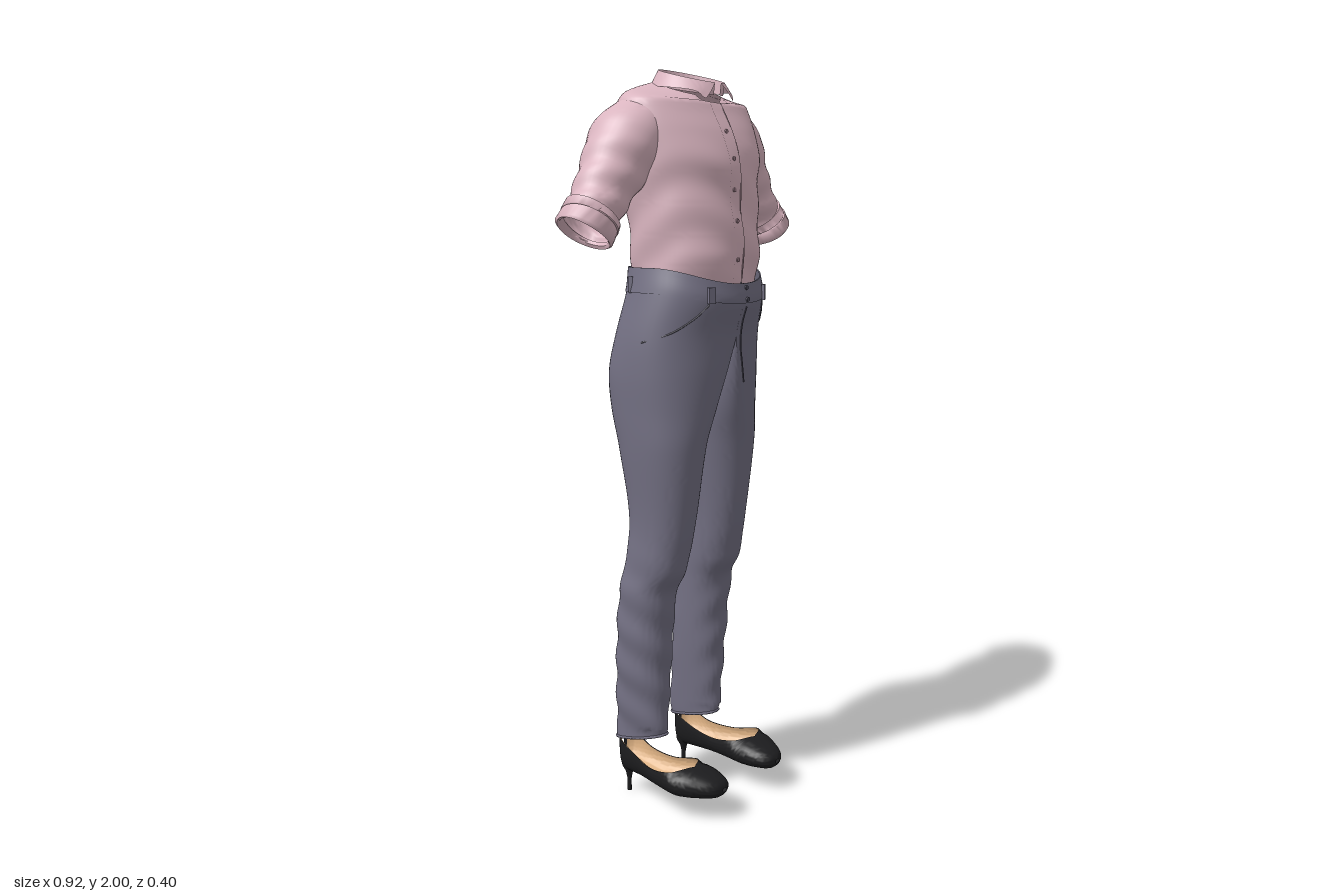
import * as THREE from 'three';
import { toCreasedNormals } from 'three/addons/utils/BufferGeometryUtils.js';

const mat = (name, color) => new THREE.MeshStandardMaterial({ name, color, side: THREE.DoubleSide });
const V = (x, y, z) => new THREE.Vector3(x, y, z);
const { lerp, smoothstep } = THREE.MathUtils;
const PI = Math.PI;
const sp = (v, p = 0.9) => Math.sign(v) * Math.abs(v) ** p;

// Smooth interpolation of table rows; the first column is the key
function at(rows, k) {
  const dir = Math.sign(rows[1][0] - rows[0][0]);
  let i = 0;
  while (i < rows.length - 2 && (k - rows[i + 1][0]) * dir > 0) i++;
  const A = rows[i], B = rows[i + 1], P = rows[i - 1] || A, N = rows[i + 2] || B;
  const d = B[0] - A[0], t = (k - A[0]) / d, t2 = t * t, t3 = t2 * t;
  return A.map((a, c) => {
    const m0 = (B[c] - P[c]) / (B[0] - P[0]) * d, m1 = (N[c] - A[c]) / (N[0] - A[0]) * d;
    return (2 * t3 - 3 * t2 + 1) * a + (t3 - 2 * t2 + t) * m0 + (3 * t2 - 2 * t3) * B[c] + (t3 - t2) * m1;
  });
}

// Surface swept from key k0 to k1, with fn(k, a) giving each point
function loft(fn, k0, k1, nk, na, a0 = 0, a1 = 2 * PI, crease = 1.1) {
  const pos = [], idx = [], closed = Math.abs(a1 - a0 - 2 * PI) < 1e-6, w = closed ? na : na + 1;
  for (let i = 0; i <= nk; i++)
    for (let j = 0; j < w; j++) pos.push(...fn(lerp(k0, k1, i / nk), lerp(a0, a1, j / na)).toArray());
  for (let i = 0; i < nk; i++)
    for (let j = 0; j < na; j++) {
      const a = i * w + j, b = i * w + (j + 1) % w;
      idx.push(a, b, a + w, b, b + w, a + w);
    }
  const g = new THREE.BufferGeometry();
  g.setAttribute('position', new THREE.Float32BufferAttribute(pos, 3));
  g.setIndex(idx);
  return toCreasedNormals(g, crease);
}

// y, centre x, half width, front z, back z
const TORSO = [
  [1.97, -0.004, 0.092, 0.052, -0.108], [1.95, -0.003, 0.165, 0.058, -0.128], [1.93, -0.003, 0.212, 0.064, -0.142],
  [1.89, -0.003, 0.235, 0.08, -0.162], [1.83, -0.004, 0.235, 0.112, -0.178], [1.76, -0.006, 0.22, 0.138, -0.176],
  [1.68, -0.01, 0.205, 0.142, -0.162], [1.6, -0.012, 0.195, 0.15, -0.153], [1.52, -0.012, 0.188, 0.158, -0.148],
  [1.48, -0.012, 0.185, 0.153, -0.146], [1.4, -0.012, 0.178, 0.143, -0.135]];
function torso(k, a, off = 0) {
  const [, cx, hw, zf, zb] = at(TORSO, k), c = Math.cos(a), s = Math.sin(a);
  const fold = 0.003 * Math.sin(k * 45 + 3 * Math.sin(a * 2)) * smoothstep(1.85 - k, 0, 0.15) + off;
  const x = cx + (hw + fold) * sp(c), z = (zf + zb) / 2 + ((zf - zb) / 2 + fold) * sp(s);
  const notch = s > 0 ? 0.035 * Math.max(0, 1 - Math.abs(x) / 0.06) : 0;
  return V(x, k - smoothstep(k, 1.9, 1.97) * ((z + 0.11) * 0.3 + notch), z);
}

// step, centre x, centre y, centre z, radius in the front plane, radius in z
const SLEEVE = [
  [0, 0.165, 1.875, -0.05, 0.065, 0.08], [1, 0.222, 1.8, -0.06, 0.096, 0.1], [2, 0.298, 1.7, -0.06, 0.082, 0.077],
  [3, 0.36, 1.615, -0.057, 0.07, 0.068], [4, 0.388, 1.578, -0.057, 0.068, 0.068]];
function sleeve(k, a, off = 0) {
  const [, x, y, z, rp, rz] = at(SLEEVE, k), A = at(SLEEVE, k - 0.02), B = at(SLEEVE, k + 0.02);
  const t = V(B[1] - A[1], B[2] - A[2], 0).normalize();
  const fold = off + 0.003 * Math.sin(k * 9 + a * 2) * smoothstep(k, 0.8, 1.8);
  const p = (rp + fold) * Math.cos(a);
  return V(x - t.y * p, y + t.x * p, z + (rz + fold) * Math.sin(a));
}

// y, inner x, mid x, outer x, front z, back z of the left half
const LEG = [
  [1.48, 0, 0, 0.19, 0.16, -0.153], [1.42, 0, 0, 0.203, 0.165, -0.155], [1.3, 0, 0, 0.222, 0.142, -0.185],
  [1.2, 0, 0.03, 0.227, 0.13, -0.2], [1.1, 0, 0.07, 0.223, 0.115, -0.18], [1, 0.012, 0.11, 0.217, 0.1, -0.142],
  [0.8, 0.038, 0.117, 0.198, 0.075, -0.11], [0.66, 0.047, 0.125, 0.2, 0.047, -0.125], [0.6, 0.052, 0.129, 0.203, 0.018, -0.138],
  [0.4, 0.06, 0.125, 0.192, 0, -0.158], [0.21, 0.076, 0.122, 0.17, -0.008, -0.17], [0.175, 0.08, 0.122, 0.165, -0.012, -0.168]];
function leg(k, a, off = 0) {
  const [, xi, xc, xo, zf, zb] = at(LEG, k), c = Math.cos(a), s = Math.sin(a);
  const fold = 0.003 * Math.sin(k * 55 + 2 * a) * (1 - smoothstep(k, 0.5, 0.8)) + off;
  const x = xc + (c > 0 ? xo - xc + fold : xc - xi) * sp(c);
  const z = (zf + zb) / 2 + ((zf - zb) / 2 + fold) * sp(s);
  const dip = 0.042 * Math.max(0, s) ** 2 * smoothstep(k, 1.3, 1.48);
  return V(x, k - dip + (k < 0.2 ? 0.015 * s : 0), z);
}

// Folded collar: 0 inner edge, 1 top fold, 2 outer edge with front points
function collar(k, a) {
  const u = (a - PI / 2) / (2 * PI), b = (1 - Math.sin(a)) / 2, f = Math.max(0, Math.sin(a)) ** 6;
  const edge = [
    [0.084, 1.925 + 0.03 * b, a], [0.088, 1.957 + 0.043 * b, a],
    [0.11, 1.931 + 0.025 * b - 0.019 * f, a + (u < 0.5 ? 0.45 : -0.45) * f]];
  const i = Math.min(1, Math.floor(k)), [r, y, t] = edge[i].map((v, n) => lerp(v, edge[i + 1][n], k - i));
  return V(-0.004 + r * Math.cos(t), y, -0.015 + r * Math.sin(t));
}

// z, centre x, half width, bottom y, rim y, wrap angle
const SHOE = [
  [0.2, 0.127, 0.008, 0.08, 0.09, PI], [0.188, 0.129, 0.036, 0.065, 0.106, PI], [0.145, 0.136, 0.062, 0.058, 0.125, PI],
  [0.11, 0.143, 0.072, 0.056, 0.134, PI], [0.075, 0.147, 0.074, 0.056, 0.13, 2.2], [0, 0.143, 0.056, 0.062, 0.119, 1.9],
  [-0.07, 0.134, 0.04, 0.064, 0.13, 1.8], [-0.125, 0.129, 0.036, 0.066, 0.155, 1.8], [-0.15, 0.127, 0.024, 0.072, 0.165, 1.9],
  [-0.157, 0.127, 0.004, 0.08, 0.166, 1.9]];
function shoe(k, a, inset = 0) {
  const [, cx, hw, yb, yt, m] = at(SHOE, k), wrap = Math.min(PI, m), t = -a * wrap;
  const y0 = yb + inset * (3 + 5 * smoothstep(-k, 0, 0.12)), h = (1 - Math.cos(t)) / (1 - Math.cos(wrap));
  return V(cx + (hw - inset) * sp(Math.sin(t), 0.75), lerp(y0, yt - inset * 0.3, h), k);
}

export function createModel() {
  const model = new THREE.Group();
  const pink = mat('shirt pink', 0xdab5c0), grey = mat('trouser grey', 0x747184), seam = mat('seam grey', 0x4b4958),
    black = mat('shoe black', 0x1d1d1f), tan = mat('insole tan', 0xdcb082), trim = mat('button rose', 0x9c7d88);
  const add = (parent, name, geo, m) => {
    const mesh = new THREE.Mesh(geo, m);
    mesh.name = name;
    parent.add(mesh);
    return mesh;
  };
  const group = (name, parent = model) => {
    const g = new THREE.Group();
    g.name = name;
    parent.add(g);
    return g;
  };
  const line = (pts, r) => new THREE.TubeGeometry(new THREE.CatmullRomCurve3(pts), 24, r, 5);

  // Shirt body, collar and button band
  const shirt = group('shirt');
  add(shirt, 'shirtBody', loft(torso, 1.97, 1.4, 64, 72), pink);
  add(shirt, 'collar', loft(collar, 0, 2, 8, 64, PI / 2 + 0.15, PI * 2.5 - 0.15), pink);
  add(shirt, 'buttonBand', loft((k, a) => torso(k, a, 0.003), 1.91, 1.42, 40, 4, PI / 2 - 0.02, PI / 2 + 0.14), pink);
  const bandEdge = [1.91, 1.85, 1.78, 1.7, 1.62, 1.54, 1.45].map(y => torso(y, PI / 2 - 0.02, 0.002));
  add(shirt, 'bandEdge', line(bandEdge, 0.0018), trim);
  for (const y of [1.83, 1.76, 1.68, 1.6, 1.5]) {
    const b = add(shirt, 'shirtButton', new THREE.CylinderGeometry(0.006, 0.006, 0.004, 12), trim);
    b.position.copy(torso(y, PI / 2 + 0.07, 0.004));
    b.rotation.x = PI / 2;
  }

  // Sleeves with rolled cuffs
  for (const side of [1, -1]) {
    const g = group(side > 0 ? 'leftSleeve' : 'rightSleeve', shirt);
    g.scale.x = side;
    add(g, 'sleeve', loft(sleeve, 0, 3.9, 40, 40), pink);
    const roll = [[3, 0], [2.95, 0.007], [3.3, 0.01], [3.35, 0.006], [3.4, 0.011], [4.1, 0.013], [4.2, 0.008], [4.1, 0], [3.7, -0.004]];
    add(g, 'rolledCuff', loft((i, a) => {
      const [k, off] = roll[Math.round(i)];
      return sleeve(k + 0.15 * Math.sin(a + 0.6) * (k > 4 ? 1 : 0), a, off);
    }, 0, 8, 8, 40), pink);
  }

  // Trousers, each half mirrored about the fly
  const trousers = group('trousers');
  trousers.position.x = -0.013;
  for (const side of [1, -1]) {
    const g = group(side > 0 ? 'leftTrouserHalf' : 'rightTrouserHalf', trousers);
    g.scale.x = side;
    add(g, 'trouserLeg', loft(leg, 1.48, 0.175, 110, 56, 0, 2 * PI, 0.9), grey);
    add(g, 'waistband', loft((k, a) => leg(k, a, 0.003), 1.48, 1.415, 6, 32, -PI / 2, PI / 2), grey);
    const hem = [];
    for (let i = 0; i <= 24; i++) hem.push(leg(0.176, i / 24 * 2 * PI, 0.001));
    add(g, 'hem', line(hem, 0.004), grey);
    const pocket = [[1.405, 1.0], [1.36, 0.85], [1.315, 0.55], [1.288, 0.1]].map(([y, a]) => leg(y, a, 0.001));
    add(g, 'pocketSeam', line(pocket, 0.0022), seam);
    for (const a of [1.0, -0.4, -1.15]) {
      const p = leg(1.435, a, 0.005), loop = add(g, 'beltLoop', new THREE.BoxGeometry(0.022, 0.042, 0.009), grey);
      loop.position.copy(p);
      loop.lookAt(p.clone().add(V(Math.cos(a) / 0.2, 0, Math.sin(a) / 0.16)));
    }
  }
  const fly = [1.4, 1.34, 1.28, 1.22, 1.17].map(y => leg(y, PI / 2 - 0.06, 0.001));
  add(trousers, 'flySeam', line(fly, 0.002), seam);
  for (const y of [1.468, 1.43]) {
    const b = add(trousers, 'waistButton', new THREE.CylinderGeometry(0.006, 0.006, 0.006, 12), seam);
    b.position.copy(leg(y, PI / 2 - 0.04, 0.004));
    b.rotation.x = PI / 2;
  }

  // Court shoes with thin heels
  const heel = [[0, 0], [0.006, 0], [0.006, 0.035], [0.01, 0.056], [0.02, 0.074], [0.022, 0.085]].map(p => new THREE.Vector2(...p));
  for (const side of [1, -1]) {
    const g = group(side > 0 ? 'leftShoe' : 'rightShoe');
    g.position.x = -0.013;
    g.scale.x = side;
    add(g, 'shoeUpper', loft(shoe, 0.2, -0.157, 60, 36, -1, 1), black);
    add(g, 'insole', loft((k, a) => shoe(k, a, 0.003), 0.13, -0.1535, 50, 36, -1, 1), tan);
    add(g, 'heel', new THREE.LatheGeometry(heel, 16), black).position.set(0.126, 0, -0.135);
  }
  return model;
}
